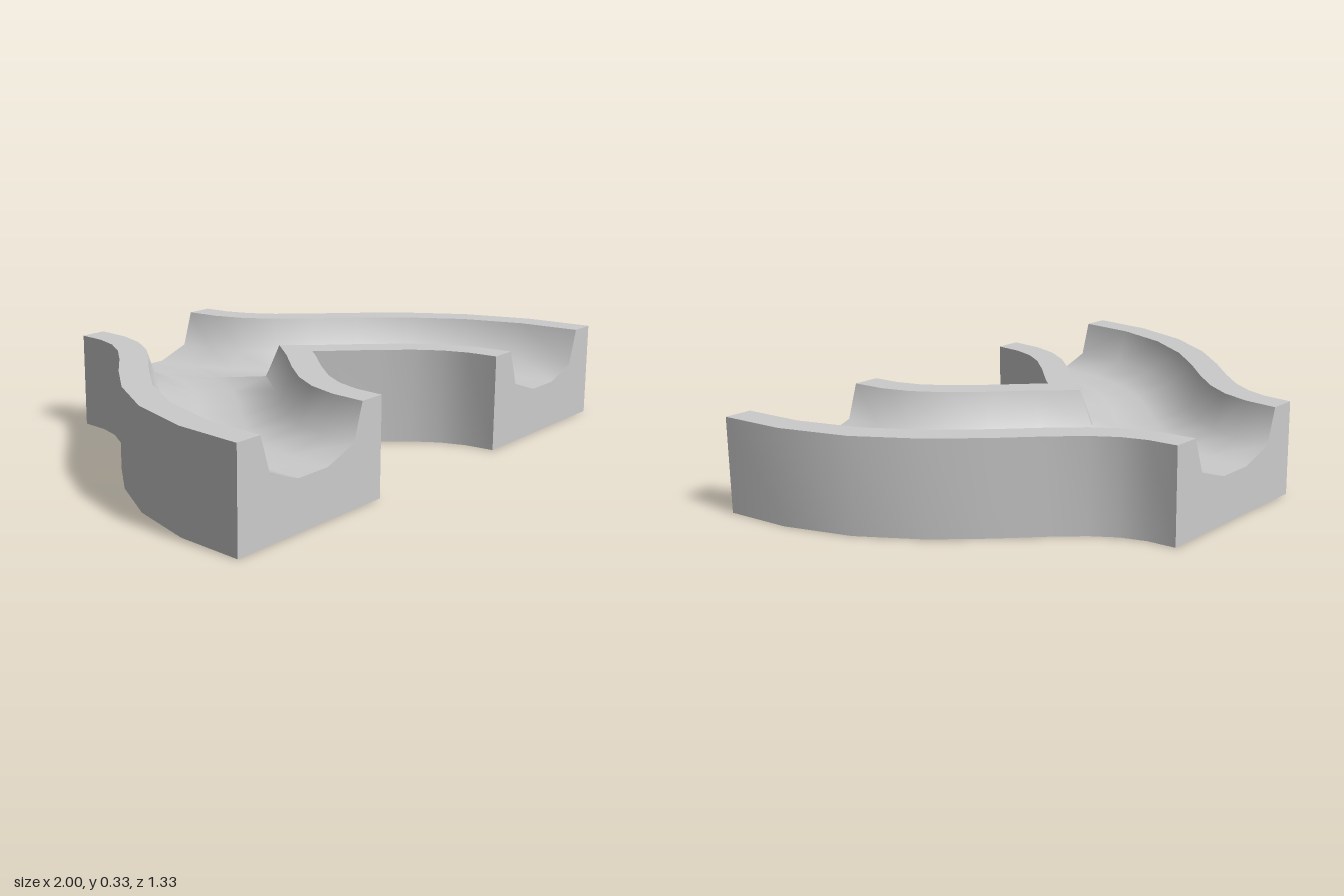
import * as THREE from 'three';
import { toCreasedNormals } from 'three/addons/utils/BufferGeometryUtils.js';

const H = 0.333;      // height of the block
const STEPS = 9;      // sections along each branch

// Cross-section of the channel: (across, up), counter-clockwise
const PROFILE = [
  [-0.333, 0], [0.333, 0], [0.333, H], [0.235, H], [0.195, 0.21],
  [0.068, 0.167], [-0.068, 0.167], [-0.195, 0.21], [-0.235, H], [-0.333, H],
].map(([x, y]) => new THREE.Vector2(x, y));

// S-shaped centre line of the left branch, on the ground (x, z)
const PATH = new THREE.CubicBezierCurve(
  new THREE.Vector2(0, -0.667), new THREE.Vector2(0, 0),
  new THREE.Vector2(0.667, 0), new THREE.Vector2(0.667, 0.667));

function section(t) {
  const c = PATH.getPointAt(t);
  const d = PATH.getTangentAt(t);
  return PROFILE.map(p => new THREE.Vector3(c.x + d.y * p.x, p.y, c.y - d.x * p.x));
}

// Keep the part of a triangle where x >= 0
function clip(tri) {
  const out = [];
  tri.forEach((a, i) => {
    const b = tri[(i + 1) % 3];
    if (a.x >= 0) out.push(a);
    if ((a.x < 0 && b.x > 0) || (a.x > 0 && b.x < 0)) {
      const p = a.clone().lerp(b, a.x / (a.x - b.x));
      p.x = 0;
      out.push(p);
    }
  });
  return out;
}

// Triangles of one swept branch
function branchTriangles() {
  const rows = [];
  for (let i = 0; i <= STEPS; i++) rows.push(section(i / STEPS));
  const tris = [];
  const n = PROFILE.length;
  for (let i = 0; i < STEPS; i++) {
    for (let j = 0; j < n; j++) {
      const k = (j + 1) % n;
      const a = rows[i][j], b = rows[i][k], c = rows[i + 1][k], d = rows[i + 1][j];
      tris.push([a, b, c], [a, c, d]);
    }
  }
  // End faces
  for (const [a, b, c] of THREE.ShapeUtils.triangulateShape(PROFILE, [])) {
    const s = rows[0], e = rows[STEPS];
    tris.push([e[a], e[b], e[c]], [s[c], s[b], s[a]]);
  }
  return tris;
}

export function createModel() {
  const group = new THREE.Group();
  group.name = 'forkedChannel';

  // Each branch fills its own side of x = 0, so the two join in a fork
  const positions = [];
  for (const tri of branchTriangles()) {
    const poly = clip(tri);
    for (let i = 1; i + 1 < poly.length; i++) {
      const [a, b, c] = [poly[0], poly[i], poly[i + 1]];
      for (const p of [a, b, c]) positions.push(p.x, p.y, p.z);
      for (const p of [a, c, b]) positions.push(-p.x, p.y, p.z);
    }
  }
  const geometry = new THREE.BufferGeometry();
  geometry.setAttribute('position', new THREE.Float32BufferAttribute(positions, 3));

  const mesh = new THREE.Mesh(
    toCreasedNormals(geometry, 1.0),
    new THREE.MeshStandardMaterial({ color: 0xcccccc }));
  mesh.name = 'forkedTrack';
  group.add(mesh);
  return group;
}
